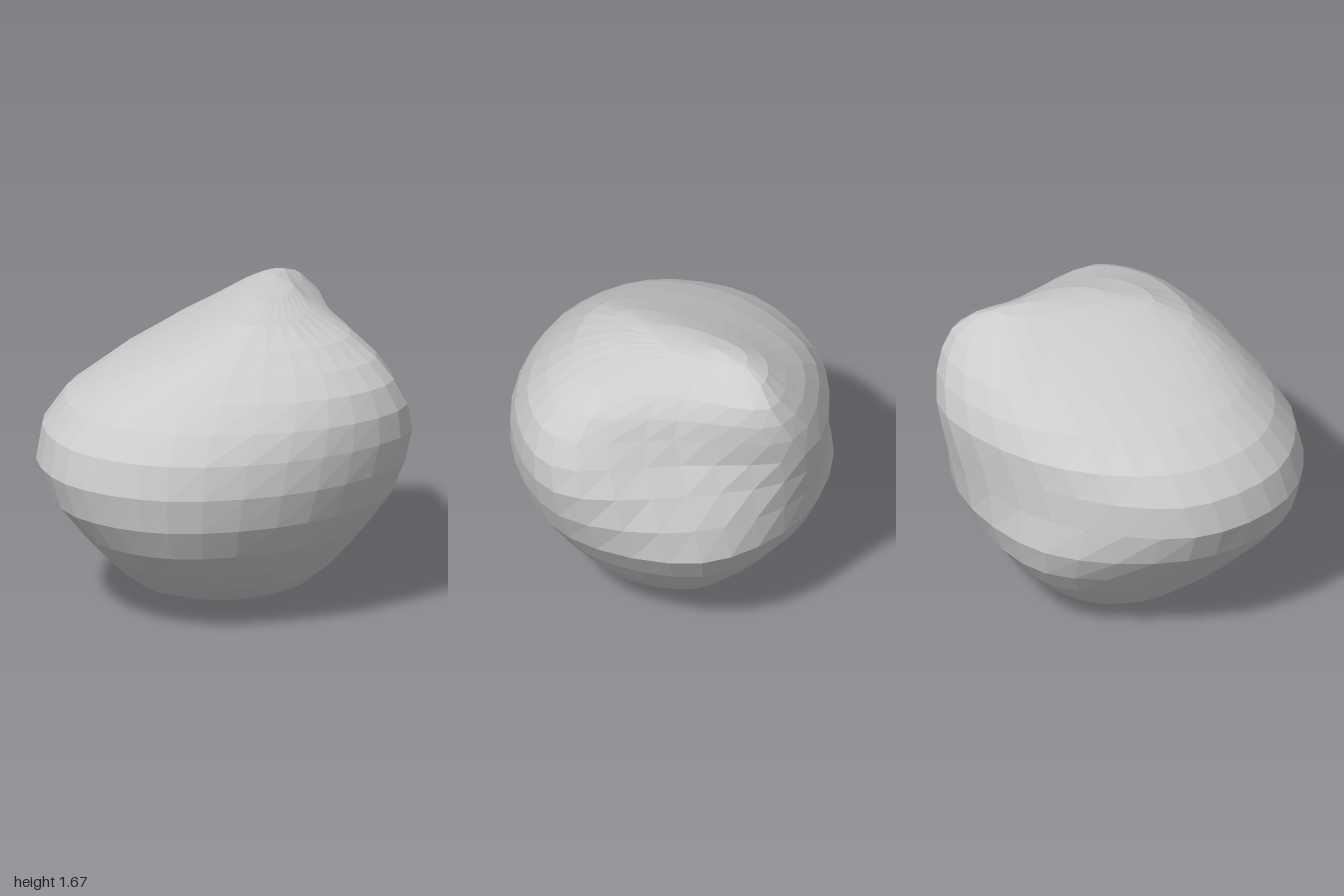
import * as THREE from 'three';

// Horizontal sections: height, left/right x, back/front z,
// x of the back-most and front-most points, z of the points at x-min and x-max
const SECTIONS = [
  [0.01, -0.20, 0.12, -0.14, 0.08, -0.04, -0.05, 0.00, 0.00],
  [0.045, -0.34, 0.28, -0.28, 0.21, -0.04, -0.07, 0.00, 0.00],
  [0.11, -0.48, 0.42, -0.41, 0.38, -0.02, -0.10, 0.01, 0.01],
  [0.20, -0.57, 0.53, -0.53, 0.53, 0.00, -0.13, 0.03, 0.02],
  [0.32, -0.67, 0.64, -0.65, 0.68, 0.02, -0.16, 0.06, 0.04],
  [0.47, -0.79, 0.76, -0.77, 0.83, 0.03, -0.18, 0.09, 0.06],
  [0.64, -0.93, 0.88, -0.86, 0.92, 0.05, -0.20, 0.13, 0.08],
  [0.83, -1.00, 0.96, -0.89, 0.95, 0.07, -0.20, 0.15, 0.09],
  [1.01, -0.97, 1.00, -0.925, 0.91, 0.11, -0.20, 0.10, 0.10],
  [1.16, -0.86, 0.98, -0.945, 0.81, 0.16, -0.17, 0.05, 0.13],
  [1.30, -0.65, 0.91, -0.92, 0.68, 0.24, -0.11, 0.00, 0.15],
  [1.41, -0.43, 0.81, -0.88, 0.56, 0.28, -0.05, -0.08, 0.12],
  [1.51, -0.21, 0.66, -0.82, 0.44, 0.30, 0.04, -0.18, 0.06],
  [1.60, -0.02, 0.43, -0.73, 0.25, 0.26, 0.13, -0.32, -0.08],
  [1.65, 0.09, 0.31, -0.60, 0.00, 0.21, 0.20, -0.38, -0.30],
];
const SIDES = 32;

const blend = (y, y0, y1, low, high) =>
  THREE.MathUtils.lerp(low, high, THREE.MathUtils.smoothstep(y, y0, y1));

// One smooth closed loop through four extreme points and a corner between each pair
function sectionLoop([y, x0, x1, z0, z1, backX, frontX, leftZ, rightZ]) {
  const corner = (cx, cz, ex, ez, fullness) =>
    new THREE.Vector3(cx + (ex - cx) * fullness, y, cz + (ez - cz) * fullness);
  const curve = new THREE.CatmullRomCurve3([
    new THREE.Vector3(x1, y, rightZ),
    // This corner is full low down and hollowed higher up
    corner(backX, rightZ, x1, z0, blend(y, 0.55, 1.3, 0.77, 0.51)),
    new THREE.Vector3(backX, y, z0),
    corner(backX, leftZ, x0, z0, blend(y, 0.35, 0.95, 0.77, 0.655) + blend(y, 1.0, 1.5, 0, 0.085)),
    new THREE.Vector3(x0, y, leftZ),
    corner(frontX, leftZ, x0, z1, 0.72),
    new THREE.Vector3(frontX, y, z1),
    corner(frontX, rightZ, x1, z1, blend(y, 0.9, 1.4, 0.66, 0.71)),
  ], true);
  return Array.from({ length: SIDES }, (_, i) => curve.getPoint(i / SIDES));
}

function boulderGeometry() {
  const points = SECTIONS.flatMap(sectionLoop);
  const bottom = points.length, top = bottom + 1;
  points.push(new THREE.Vector3(-0.05, 0, -0.02), new THREE.Vector3(0.2, 1.67, -0.42));

  const index = [];
  const last = (SECTIONS.length - 1) * SIDES;
  for (let j = 0; j < SIDES; j++) {
    const k = (j + 1) % SIDES;
    for (let i = 0; i < last; i += SIDES) {
      const a = i + j, b = i + k, c = a + SIDES, d = b + SIDES;
      index.push(a, b, d, a, d, c);
    }
    // Underside and summit fans
    index.push(bottom, k, j, top, last + j, last + k);
  }

  const geometry = new THREE.BufferGeometry().setFromPoints(points);
  geometry.setIndex(index);
  geometry.computeVertexNormals();
  return geometry;
}

export function createModel() {
  const group = new THREE.Group();
  group.name = 'rock';
  const material = new THREE.MeshStandardMaterial({ color: 0xcccccc, flatShading: true });
  const boulder = new THREE.Mesh(boulderGeometry(), material);
  boulder.name = 'boulder';
  group.add(boulder);
  return group;
}
